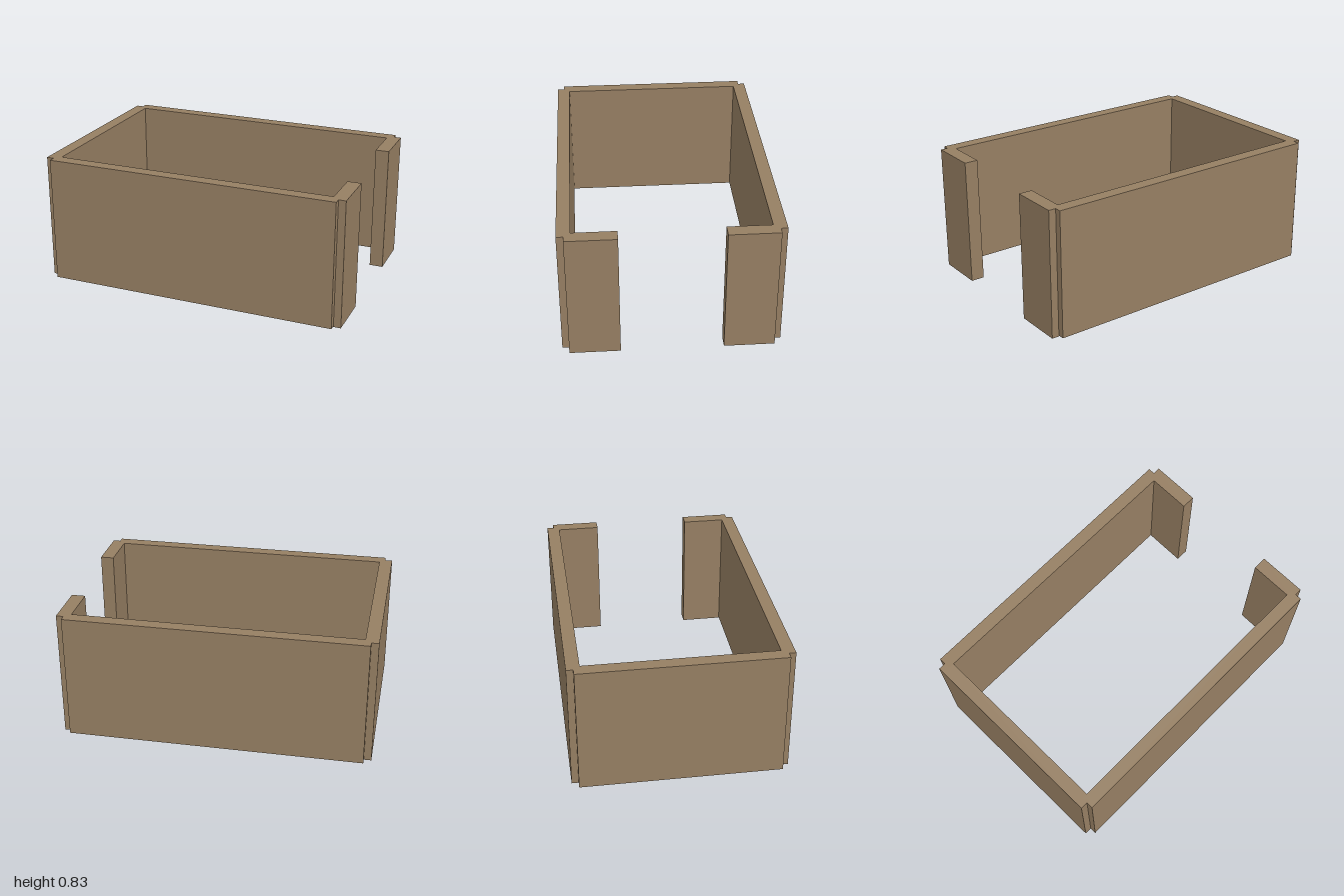
import * as THREE from 'three';

export function createModel() {
  const group = new THREE.Group();
  const wood = new THREE.MeshStandardMaterial({ color: 0x967f63 });
  wood.name = 'brown wood';
  const top = 0.828;

  // Upright board given by its x, z and bottom limits
  function board(name, x0, x1, z0, z1, y0) {
    const mesh = new THREE.Mesh(new THREE.BoxGeometry(x1 - x0, top - y0, z1 - z0), wood);
    mesh.name = name;
    mesh.position.set((x0 + x1) / 2, (top + y0) / 2, (z0 + z1) / 2);
    group.add(mesh);
  }

  // Long walls, stepped in at the corners
  board('frontWall', -0.953, 0.953, 0.595, 0.678, 0.006);
  board('backWall', -0.953, 0.953, -0.678, -0.595, 0.006);

  // Closed end
  board('endWall', -1, -0.915, -0.635, 0.635, 0.006);

  // Open end: two short returns beside the doorway
  board('frontDoorReturn', 0.912, 1, 0.319, 0.635, 0);
  board('backDoorReturn', 0.912, 1, -0.635, -0.319, 0);

  return group;
}
